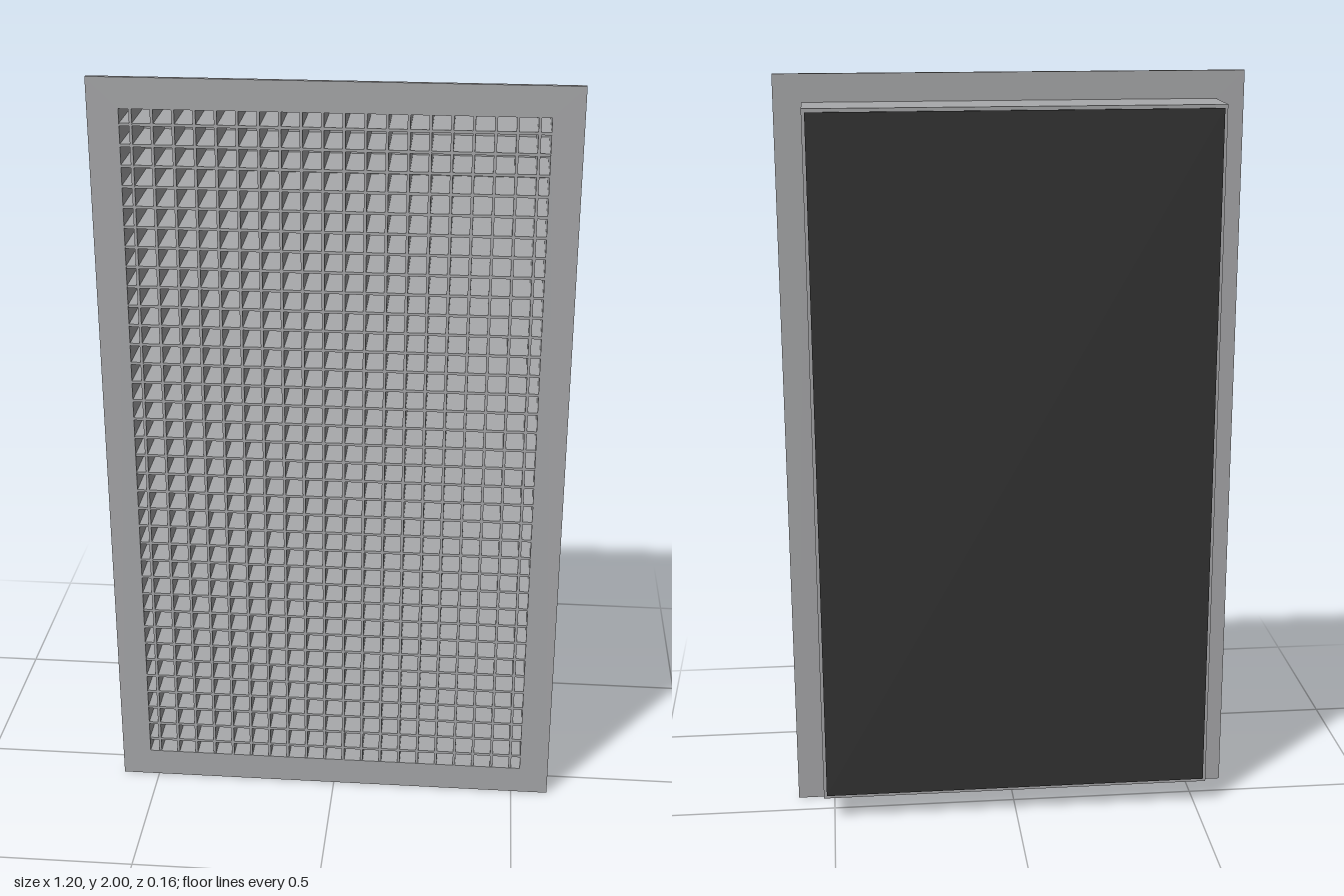
import * as THREE from 'three';

const PITCH = 0.052, BAR = 0.007;
const FRONT = 0.082, FLANGE_BACK = 0.071, BODY_BACK = -0.078;

// Rectangle, centred, with a rectangular hole, extruded from z0 to z1
function rectFrame(w, h, holeW, holeH, z0, z1) {
  const rect = (target, a, b) => target.moveTo(-a / 2, -b / 2).lineTo(a / 2, -b / 2)
    .lineTo(a / 2, b / 2).lineTo(-a / 2, b / 2).closePath();
  const shape = rect(new THREE.Shape(), w, h);
  shape.holes.push(rect(new THREE.Path(), holeW, holeH));
  return new THREE.ExtrudeGeometry(shape, { depth: z1 - z0, bevelEnabled: false }).translate(0, 1, z0);
}

export function createModel() {
  const model = new THREE.Group();
  const metal = new THREE.MeshStandardMaterial({ color: 0xa8a9ab });
  metal.name = 'grey metal';
  const dark = new THREE.MeshStandardMaterial({ color: 0x333333 });
  dark.name = 'dark backing';

  const add = (name, geometry, material, parent = model) => {
    const mesh = new THREE.Mesh(geometry, material);
    mesh.name = name;
    parent.add(mesh);
    return mesh;
  };
  const box = (w, h, z0, z1) => new THREE.BoxGeometry(w, h, z1 - z0).translate(0, 1, (z0 + z1) / 2);

  // Mounting flange and the duct collar behind it
  add('flange', rectFrame(1.2, 2, 1.044, 1.846, FLANGE_BACK, FRONT), metal);
  add('collar', rectFrame(1.056, 1.858, 1.044, 1.846, BODY_BACK, FLANGE_BACK), metal);

  // Closed back with a dark sheet on the outside
  add('backPanel', box(1.05, 1.852, BODY_BACK, BODY_BACK + 0.004), metal);
  add('backingSheet', box(1.04, 1.84, -0.082, BODY_BACK), dark);

  // Egg-crate core of crossing blades
  const core = new THREE.Group();
  core.name = 'gridCore';
  model.add(core);
  const upright = box(BAR, 1.848, BODY_BACK + 0.003, 0.08);
  const crossbar = box(1.046, BAR, BODY_BACK + 0.003, 0.0798);
  for (let i = 0; i < 20; i++) {
    add('uprightBlade', upright, metal, core).position.x = (i - 9.5) * PITCH;
  }
  for (let i = 0; i < 35; i++) {
    add('crossBlade', crossbar, metal, core).position.y = (i - 17) * PITCH;
  }
  return model;
}
